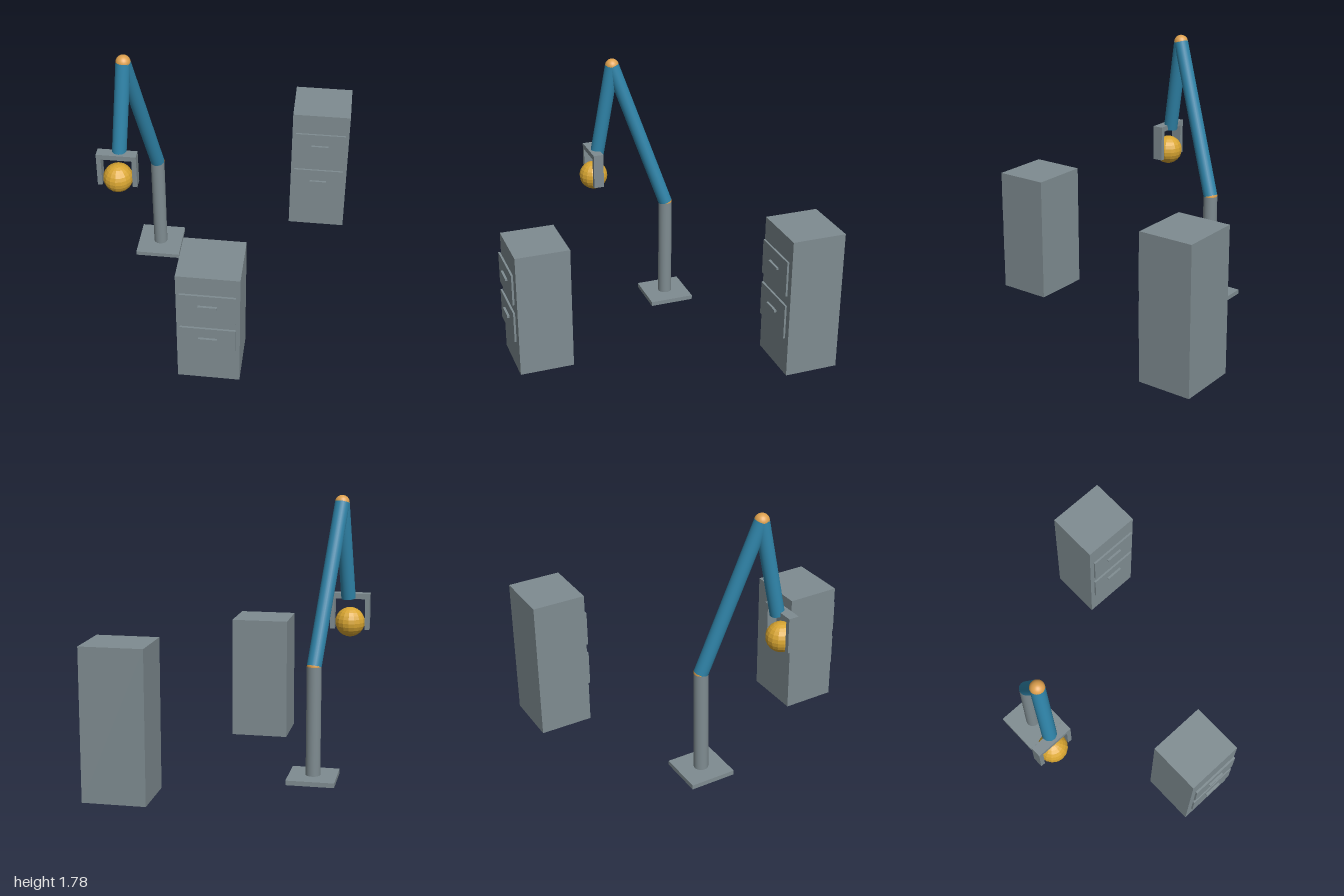
import * as THREE from 'three';

const mat = (name, color, flatShading = false) => {
  const m = new THREE.MeshStandardMaterial({ color, flatShading });
  m.name = name;
  return m;
};

export function createModel() {
  const model = new THREE.Group();
  const steel = mat('steel grey', 0x7f8c91);
  const blue = mat('arm blue', 0x2f84a9);
  const orange = mat('joint orange', 0xdda04e);
  const gold = mat('ball gold', 0xd9a632, true);

  const add = (parent, name, geometry, material) => {
    const mesh = new THREE.Mesh(geometry, material);
    mesh.name = name;
    parent.add(mesh);
    return mesh;
  };
  // Box given by its minimum and maximum corners
  const box = (parent, name, [x0, y0, z0], [x1, y1, z1]) => {
    add(parent, name, new THREE.BoxGeometry(x1 - x0, y1 - y0, z1 - z0), steel)
      .position.set((x0 + x1) / 2, (y0 + y1) / 2, (z0 + z1) / 2);
  };
  // Cylinder running between two points
  const rod = (parent, name, a, b, radius, material) => {
    const dir = b.clone().sub(a);
    const mesh = add(parent, name, new THREE.CylinderGeometry(radius, radius, dir.length(), 24), material);
    mesh.position.copy(a).add(b).multiplyScalar(0.5);
    mesh.quaternion.setFromUnitVectors(new THREE.Vector3(0, 1, 0), dir.normalize());
  };

  // Robot arm: base, column, two links and their joints
  const arm = new THREE.Group();
  arm.name = 'robotArm';
  model.add(arm);
  const r = 0.047;
  const foot = new THREE.Vector3(-0.5, 0.03, -0.293);
  const shoulder = new THREE.Vector3(-0.5, 0.735, -0.293);
  const elbow = new THREE.Vector3(-0.622, 1.729, 0.046);
  const wrist = new THREE.Vector3(-0.661, 1.1, 0.151);
  box(arm, 'basePlate', [-0.653, 0, -0.446], [-0.347, 0.03, -0.14]);
  rod(arm, 'column', foot, shoulder, r, steel);
  rod(arm, 'upperArm', shoulder, elbow, r, blue);
  rod(arm, 'forearm', elbow, wrist, r, blue);
  add(arm, 'shoulderJoint', new THREE.SphereGeometry(r, 24, 16), orange).position.copy(shoulder);
  add(arm, 'elbowJoint', new THREE.SphereGeometry(r, 24, 16), orange).position.copy(elbow);

  // Gripper: crossbar with two fingers
  const gripper = new THREE.Group();
  gripper.name = 'gripper';
  arm.add(gripper);
  box(gripper, 'crossbar', [-0.8, 1.095, 0.142], [-0.542, 1.13, 0.211]);
  box(gripper, 'rightFinger', [-0.8, 0.893, 0.142], [-0.77, 1.095, 0.211]);
  box(gripper, 'leftFinger', [-0.572, 0.893, 0.142], [-0.542, 1.095, 0.211]);

  // Ball held between the fingers
  add(model, 'ball', new THREE.SphereGeometry(0.097, 16, 12), gold).position.set(-0.671, 0.938, 0.177);

  // Filing cabinets: body, floating drawer fronts, handles
  const cabinet = (name, x, width, height, back, depth, panelWidth, handleWidth, drawers) => {
    const group = new THREE.Group();
    group.name = name;
    model.add(group);
    const front = back + depth;
    box(group, 'body', [x - width / 2, 0, back], [x + width / 2, height, front]);
    for (const [low, high] of drawers) {
      const mid = (low + high) / 2 + 0.021;
      box(group, 'drawerFront', [x - panelWidth / 2, low, front + 0.01], [x + panelWidth / 2, high, front + 0.023]);
      box(group, 'drawerHandle', [x - handleWidth / 2, mid - 0.008, front + 0.023], [x + handleWidth / 2, mid + 0.008, front + 0.038]);
    }
  };
  cabinet('shortCabinet', 0.011, 0.392, 0.84, 0.605, 0.357, 0.345, 0.118, [[0.238, 0.445], [0.505, 0.715]]);
  cabinet('tallCabinet', 0.598, 0.397, 0.955, -1, 0.357, 0.348, 0.118, [[0.268, 0.503], [0.572, 0.81]]);

  return model;
}
